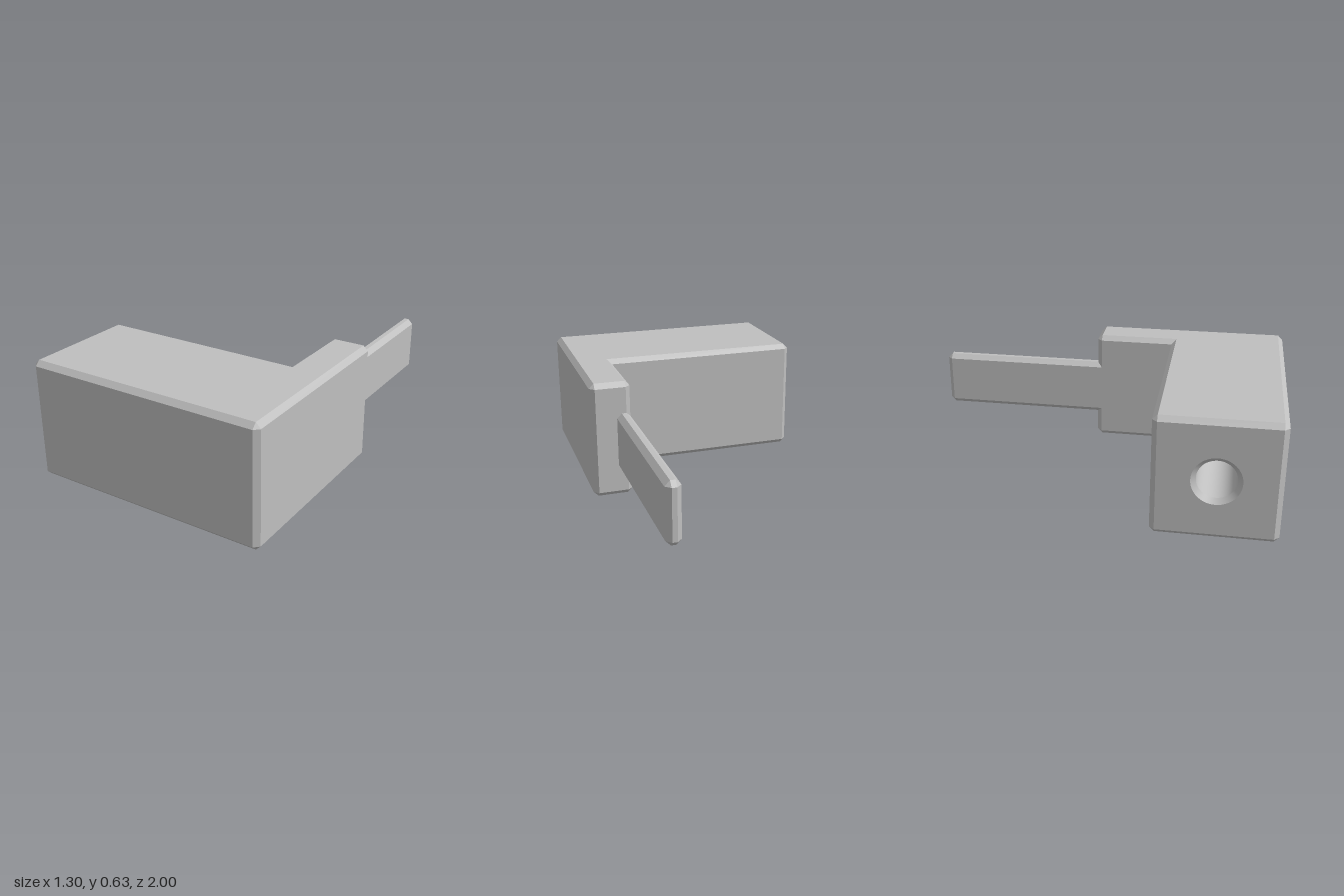
import * as THREE from 'three';

const C = 0.026; // chamfer width

// Upright prism with chamfered edges. outline: counter-clockwise [x, -z] corners.
// plainEdge: edge left without chamfer; openEdge: edge whose flat wall is left out.
function chamferedPrism(outline, y0, y1, { plainEdge = -1, openEdge = -1 } = {}) {
  const n = outline.length;
  const pts = outline.map(([x, y]) => new THREE.Vector2(x, y));
  const inward = pts.map((p, i) => {
    const d = pts[(i + 1) % n].clone().sub(p).normalize();
    return new THREE.Vector2(-d.y, d.x).multiplyScalar(C);
  });
  const cap = [], rim = []; // rim holds the two chamfer points of each corner
  pts.forEach((p, i) => {
    const k = (i + n - 1) % n, a = inward[k], b = inward[i];
    const inset = p.clone();
    if (k !== plainEdge) inset.add(a);
    if (i !== plainEdge) inset.add(b);
    cap.push(inset);
    const sharp = a.cross(b) < 0 || k === plainEdge || i === plainEdge;
    rim.push(sharp ? [p, p] : [p.clone().add(b), p.clone().add(a)]);
  });

  const pos = [];
  const tri = (...v) => v.forEach(([p, y]) => pos.push(p.x, y, -p.y));
  const quad = (a, b, c, d) => { tri(a, b, c); tri(a, c, d); };
  const lo = y0 + C, hi = y1 - C;
  for (let i = 0; i < n; i++) {
    const j = (i + 1) % n, [a, b] = rim[i], c = rim[j][0];
    // corner chamfer
    if (a !== b) {
      quad([a, lo], [b, lo], [b, hi], [a, hi]);
      tri([a, hi], [b, hi], [cap[i], y1]);
      tri([b, lo], [a, lo], [cap[i], y0]);
    }
    // wall with its upper and lower chamfers
    if (i !== openEdge) quad([b, lo], [c, lo], [c, hi], [b, hi]);
    quad([b, hi], [c, hi], [cap[j], y1], [cap[i], y1]);
    quad([cap[i], y0], [cap[j], y0], [c, lo], [b, lo]);
  }
  for (const [a, b, c] of THREE.ShapeUtils.triangulateShape(cap, [])) {
    tri([cap[a], y1], [cap[b], y1], [cap[c], y1]);
    tri([cap[c], y0], [cap[b], y0], [cap[a], y0]);
  }
  const g = new THREE.BufferGeometry();
  g.setAttribute('position', new THREE.Float32BufferAttribute(pos, 3));
  g.computeVertexNormals();
  return g;
}

export function createModel() {
  const grey = new THREE.MeshStandardMaterial({ color: 0xbfbfbf });
  grey.name = 'grey';
  grey.side = THREE.DoubleSide;
  const model = new THREE.Group();
  model.name = 'angledBlock';
  const add = (name, geometry, parent = model) => {
    const m = new THREE.Mesh(geometry, grey);
    m.name = name;
    parent.add(m);
    return m;
  };

  // L-shaped body, its end wall left open for the bored face
  const W = 0.65, H = 0.634, inner = 0.435, front = 1, step = 0.365, back = -0.07;
  add('body', chamferedPrism([
    [-W, -front], [W, -front], [W, -back], [inner, -back], [inner, -step], [-W, -step],
  ], 0, H, { openEdge: 5 }));

  // End wall with the round opening
  const holeY = H / 2, holeZ = (front + step) / 2, R = 0.125, r = 0.1, depth = 0.45;
  const z0 = step + C, z1 = front - C, y0 = C, y1 = H - C;
  const wall = new THREE.Shape([[z0, y0], [z1, y0], [z1, y1], [z0, y1]]
    .map(([x, y]) => new THREE.Vector2(x, y)));
  wall.holes.push(new THREE.Path().absarc(holeZ, holeY, R, 0, Math.PI * 2, true));
  add('endWall', new THREE.ShapeGeometry(wall, 24).rotateY(-Math.PI / 2)).position.x = -W;

  // Blind bore: countersink, wall and floor as separate bands with crisp edges
  const bore = new THREE.Group();
  bore.name = 'bore';
  bore.position.set(-W, holeY, holeZ);
  model.add(bore);
  const profile = [[R, 0], [r, 0.025], [r, depth], [0, depth]]
    .map(([x, y]) => new THREE.Vector2(x, y));
  ['boreCountersink', 'boreWall', 'boreFloor'].forEach((name, i) =>
    add(name, new THREE.LatheGeometry(profile.slice(i, i + 2), 48).rotateZ(-Math.PI / 2), bore));

  // Thin blade reaching back, flush with the inner face of the body
  add('blade', chamferedPrism([
    [inner, -back - C], [0.512, -back - C], [0.512, 1], [inner, 1],
  ], 0.15, 0.465, { plainEdge: 0 }));

  return model;
}
